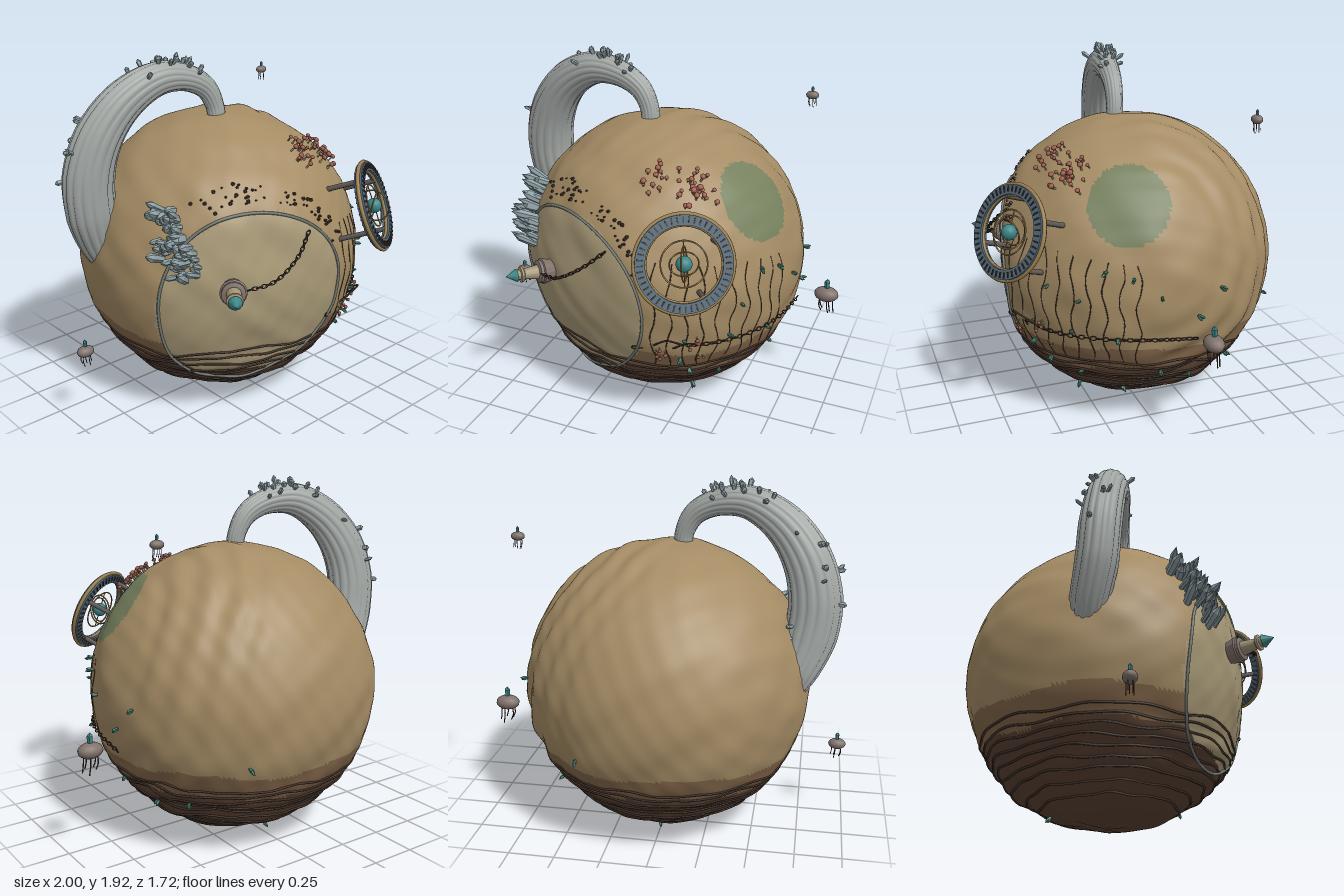
import * as THREE from 'three';
import { mergeGeometries, mergeVertices } from 'three/addons/utils/BufferGeometryUtils.js';

const V = (x, y, z) => new THREE.Vector3(x, y, z);
const UP = V(0, 1, 0), C = V(0, 0.797, -0.07), R = 0.785;
const COL = { tan: 0xa58c65, mid: 0x86694c, brown: 0x5c4334, pale: 0xaa9b78, green: 0x75805d, horn: 0xa3a8a5,
  crystal: 0x90a2a6, teal: 0x3c8587, spike: 0x3b7a68, gold: 0x9a7d4c, blue: 0x52697a, dark: 0x45342b, rope: 0x737a75,
  red: 0x9a5a48, stone: 0x80716b, post: 0x625c58, ivory: 0xa39678 };
const BASIN = V(-0.3, -0.08, 0.7).normalize(), MOSS = V(0.62, 0.5, 0.24).normalize();

let seed = 7;
const rnd = (a = 0, b = 1) => { seed = (seed * 16807) % 2147483647; return a + (b - a) * seed / 2147483647; };
const smooth = THREE.MathUtils.smoothstep;

// Radius of the lumpy planet in a direction
function radius(d) {
  let r = R + 0.006 * Math.sin(7 * d.x + 3 * d.y) * Math.cos(8 * d.z - 2 * d.y) + 0.004 * Math.sin(15 * d.y + 9 * d.x) * Math.sin(14 * d.z + 5);
  r += 0.0025 * Math.sin(27 * d.x + 11 * d.z) * Math.sin(24 * d.y - 9 * d.x);
  r -= 0.055 * (1 - smooth(d.angleTo(BASIN), 0.25, 0.75));
  const a = d.angleTo(V(0.9, 0.38, 0.2).normalize());
  r += 0.007 * Math.sin(30 * a + 2 * Math.sin(4 * d.y)) * smooth(a, 0.35, 0.6) * (1 - smooth(a, 1.1, 1.4)) * smooth(-d.z, -0.3, 0.1);
  const low = 1 - smooth(d.y, -0.6, -0.4);
  return r + 0.006 * low * Math.sin(40 * d.y + Math.sin(5 * Math.atan2(d.x, d.z)));
}
const onDir = (d, lift = 0) => { const n = d.clone().normalize(); return n.clone().multiplyScalar(radius(n) + lift).add(C); };
const outward = p => p.clone().sub(C).normalize();
const front = (x, y, lift) => onDir(V(x, y - C.y, Math.sqrt(Math.max(0, R * R - x * x - (y - C.y) ** 2))), lift);
const side = (z, y, lift) => onDir(V(Math.sqrt(Math.max(0, R * R - (z - C.z) ** 2 - (y - C.y) ** 2)), y - C.y, z - C.z), lift);

const mat = (color, opt = {}) => new THREE.MeshStandardMaterial({ color, ...opt });
function add(parent, name, geo, color, opt) {
  const m = new THREE.Mesh(Array.isArray(geo) ? mergeGeometries(geo.map(g => g.index ? g.toNonIndexed() : g)) : geo, mat(color, opt));
  m.name = name;
  parent.add(m);
  return m;
}
const FLAT = { flatShading: true };
// Moves a geometry to p with its y axis along dir
const put = (g, p, dir = UP) => g.applyQuaternion(new THREE.Quaternion().setFromUnitVectors(UP, dir.clone().normalize())).translate(p.x, p.y, p.z);
const tube = (pts, r, seg = 40, closed = false, sides = 5) => new THREE.TubeGeometry(new THREE.CatmullRomCurve3(pts, closed), seg, r, sides, closed);
const rod = (a, b, r0, r1 = r0, n = 8) => put(new THREE.CylinderGeometry(r1, r0, a.distanceTo(b), n), a.clone().lerp(b, 0.5), b.clone().sub(a));
// Prism with a pointed tip, base at the origin
const shard = (r, h, n = 5) => new THREE.LatheGeometry([V(0, 0, 0), V(r * 0.8, 0, 0), V(r, h * 0.7, 0), V(0, h, 0)], n);
const jitter = (d, k) => d.clone().add(V(rnd(-k, k), rnd(-k, k), rnd(-k, k))).normalize();

function planet(g) {
  let geo = new THREE.SphereGeometry(1, 190, 120);
  geo.deleteAttribute('uv'); geo.deleteAttribute('normal');
  geo = mergeVertices(geo);
  const pos = geo.attributes.position, p = V(0, 0, 0);
  for (let i = 0; i < pos.count; i++) {
    const q = onDir(p.fromBufferAttribute(pos, i));
    pos.setXYZ(i, q.x, q.y, q.z);
  }
  geo.computeVertexNormals();
  const parts = { tan: [], mid: [], brown: [], pale: [], green: [] }, ix = geo.index.array;
  // Sort faces into coloured ground
  for (let i = 0; i < ix.length; i += 3) {
    p.set(0, 0, 0);
    for (let k = 0; k < 3; k++) p.add(V(0, 0, 0).fromBufferAttribute(pos, ix[i + k]));
    p.divideScalar(3);
    const w = 0.015 * Math.sin(6 * Math.atan2(p.x, p.z));
    const basin = p.z > 0.1 && ((p.x + 0.27) / 0.44) ** 2 + ((p.y - 0.73) / 0.48) ** 2 < 1;
    const key = basin && p.y > 0.3 + w ? 'pale' : p.y < 0.38 + w ? 'brown' : p.y < 0.52 + w ? 'mid'
      : outward(p).angleTo(MOSS) < 0.27 + w ? 'green' : 'tan';
    parts[key].push(ix[i], ix[i + 1], ix[i + 2]);
  }
  for (const k in parts) {
    const s = geo.clone();
    s.setIndex(parts[k]);
    add(g, k + 'Ground', s, COL[k]);
  }
}

function horn(g) {
  // x, y, z, in-plane radius, sideways radius
  const st = [[-0.065, 1.52, 0, 0.05, 0.045], [-0.075, 1.62, -0.01, 0.052, 0.045], [-0.13, 1.72, -0.02, 0.06, 0.05], [-0.25, 1.785, -0.035, 0.07, 0.06],
    [-0.42, 1.795, -0.06, 0.088, 0.075], [-0.6, 1.70, -0.1, 0.11, 0.09], [-0.73, 1.53, -0.14, 0.13, 0.105],
    [-0.785, 1.33, -0.165, 0.142, 0.11], [-0.77, 1.13, -0.18, 0.14, 0.11], [-0.71, 0.95, -0.21, 0.115, 0.1], [-0.62, 0.78, -0.23, 0.08, 0.07]];
  const curve = new THREE.CatmullRomCurve3(st.map(s => V(s[0], s[1], s[2])));
  const N = 70, M = 96, verts = [], idx = [], shards = [];
  const ring = t => {
    const f = t * (st.length - 1), i = Math.min(st.length - 2, Math.floor(f)), k = f - i, c = curve.getPoint(t), T = curve.getTangent(t);
    const n = V(0, 0, 1).cross(T).normalize(), b = T.clone().cross(n).normalize();
    const mix = j => st[i][j] + (st[i + 1][j] - st[i][j]) * k;
    return (a, s = 1) => c.clone().addScaledVector(n, Math.cos(a) * mix(3) * s).addScaledVector(b, Math.sin(a) * mix(4) * s);
  };
  for (let i = 0; i <= N; i++) {
    const at = ring(i / N);
    for (let j = 0; j < M; j++) {
      const a = j / M * Math.PI * 2;
      verts.push(...at(a + i / N * 0.5, 0.94 + 0.07 * Math.sqrt(Math.abs(Math.sin(a * 8)))).toArray());
      if (i < N) {
        const p = i * M + j, q = i * M + (j + 1) % M;
        idx.push(p, q, p + M, q, q + M, p + M);
      }
    }
  }
  const geo = new THREE.BufferGeometry();
  geo.setAttribute('position', new THREE.Float32BufferAttribute(verts, 3));
  geo.setIndex(idx);
  geo.computeVertexNormals();
  add(g, 'horn', geo, COL.horn, { side: THREE.DoubleSide });
  for (let i = 0; i < 36; i++) {
    const t = i < 16 ? rnd(0.3, 0.46) : rnd(0.25, 0.85), at = ring(t), a = Math.PI + rnd(-1.3, 1.3);
    const p = at(a, 0.95), q = at(a, 1.1), w = at(0, 1).y > at(Math.PI, 1).y ? -1 : 1;
    if (w < 0) p.copy(at(a + Math.PI, 0.95)), q.copy(at(a + Math.PI, 1.1));
    shards.push(put(shard(rnd(0.01, 0.017), rnd(0.03, 0.06)), p, jitter(q.sub(p).normalize(), 0.3)));
  }
  add(g, 'hornCrystals', shards, COL.crystal, FLAT);
}

function porthole(g) {
  const w = new THREE.Group(), n = V(0.41, 0.33, 0.78).normalize();
  w.name = 'porthole';
  w.position.copy(C).addScaledVector(n, 0.945);
  w.lookAt(w.position.clone().add(n));
  g.add(w);
  const T = (r, t, s = 8, n = 64) => new THREE.TorusGeometry(r, t, s, n);
  add(w, 'goldRims', [T(0.238, 0.011), T(0.186, 0.009)], COL.gold);
  const band = new THREE.LatheGeometry([[0.185, -0.02], [0.235, -0.02], [0.235, 0.02], [0.185, 0.02], [0.185, -0.02]].map(a => new THREE.Vector2(...a)), 64).rotateX(Math.PI / 2);
  add(w, 'blueBand', band, COL.blue, { flatShading: true, side: THREE.DoubleSide });
  const teeth = [], posts = [];
  for (let i = 0; i < 48; i++) teeth.push(new THREE.BoxGeometry(0.03, 0.007, 0.05).translate(0.212, 0, 0).rotateZ(i * Math.PI / 24));
  for (let i = 0; i < 4; i++) {
    const a = i * Math.PI / 2 + 0.5, x = Math.cos(a) * 0.19, y = Math.sin(a) * 0.19;
    posts.push(rod(V(x, y, -0.23), V(x, y, 0), 0.014));
  }
  add(w, 'teeth', teeth, COL.dark, FLAT);
  add(w, 'mountPosts', posts, COL.post);
  add(w, 'gyroscopeRings', [T(0.112, 0.004), T(0.085, 0.004).rotateY(1.3), T(0.07, 0.004).rotateX(0.5), rod(V(0, -0.11, 0), V(0, 0.11, 0), 0.003)], COL.gold);
  add(w, 'core', new THREE.SphereGeometry(0.04, 20, 14), COL.teal);
}

function lighthouse(g) {
  const t = new THREE.Group(), base = V(-0.44, 0.835, 0.545), dir = V(-0.62, 0.08, 0.78).normalize();
  t.name = 'lighthouse';
  t.position.copy(base);
  t.quaternion.setFromUnitVectors(UP, dir);
  g.add(t);
  const lathe = a => new THREE.LatheGeometry(a.map(p => new THREE.Vector2(...p)), 16);
  add(t, 'footing', lathe([[0, -0.03], [0.055, -0.03], [0.07, 0.03], [0.062, 0.035], [0.062, 0.05], [0.045, 0.055], [0, 0.055]]), COL.stone, FLAT);
  add(t, 'tower', lathe([[0.04, 0.05], [0.028, 0.13], [0.042, 0.138], [0.042, 0.15], [0.026, 0.152], [0.026, 0.17], [0, 0.17]]), COL.ivory, FLAT);
  add(t, 'lampRoof', new THREE.ConeGeometry(0.036, 0.06, 12).translate(0, 0.2, 0), COL.teal, FLAT);
}

function chain(g, name, pts, count) {
  const c = new THREE.CatmullRomCurve3(pts), links = [];
  for (let i = 0; i < count; i++) {
    const u = (i + 0.5) / count;
    links.push(put(new THREE.TorusGeometry(0.011, 0.0032, 5, 10).scale(0.85, 1.45, 1).rotateY(i % 2 * Math.PI / 2 + 0.4), c.getPointAt(u), c.getTangentAt(u)));
  }
  add(g, name, links, COL.dark);
}

function lines(g) {
  const loop = Array.from({ length: 28 }, (_, i) => {
    const a = i / 28 * Math.PI * 2, k = 1 + 0.025 * Math.sin(3 * a + 1);
    return front(-0.27 + 0.44 * k * Math.cos(a), 0.73 + 0.48 * k * Math.sin(a), 0.004);
  });
  add(g, 'basinRim', tube(loop, 0.008, 140, true, 6), COL.rope);
  // Wavy layers around the underside
  const strata = [];
  for (let k = 0; k < 9; k++) {
    const y = 0.43 - k * 0.04 - (k > 6 ? 0.01 : 0), r = Math.sqrt(R * R - (y - C.y) ** 2);
    strata.push(tube(Array.from({ length: 60 }, (_, i) => {
      const a = i / 60 * Math.PI * 2;
      return onDir(V(r * Math.sin(a), y - C.y + 0.011 * Math.sin(7 * a + k * 0.8) + 0.006 * Math.sin(13 * a + k * 2), r * Math.cos(a)), 0.001);
    }), 0.0065, 180, true));
  }
  add(g, 'strata', strata, COL.dark);
  // Upright furrows on the front left flank
  const furrows = [];
  for (let k = 0; k < 10; k++) {
    const lon = 0.3 + k * 0.108, top = 0.34 - 0.01 * k;
    furrows.push(tube(Array.from({ length: 9 }, (_, i) => {
      const lat = -0.5 + (top + 0.5) * i / 8, a = lon + 0.02 * Math.sin(i * 1.7 + k);
      return onDir(V(Math.sin(a) * Math.cos(lat), Math.sin(lat), Math.cos(a) * Math.cos(lat)), -0.0005);
    }), 0.0032, 40));
  }
  add(g, 'furrows', furrows, COL.dark);
}

function growth(g) {
  const bigCrystals = [], caps = [], stems = [], spikes = [], pebbles = [];
  for (let i = 0; i < 46; i++) {
    const t = rnd(-1, 1), p = onDir(V(-0.6 + 0.06 * t + rnd(-0.06, 0.06), 0.27 - 0.15 * t + rnd(-0.06, 0.06), 0.37 + 0.07 * t + rnd(-0.06, 0.06)), -0.02);
    bigCrystals.push(put(shard(rnd(0.014, 0.026), rnd(0.09, 0.17), 6), p, jitter(V(-0.8, 0.32, 0.3), 0.2)));
  }
  add(g, 'crystalCluster', bigCrystals, COL.crystal, FLAT);
  // Mushrooms
  const mushroom = (p, s) => {
    const d = jitter(outward(p), 0.2), q = p.clone().addScaledVector(d, 0.035 * s);
    stems.push(rod(p, q, 0.005 * s, 0.004 * s, 5));
    caps.push(put(new THREE.SphereGeometry(0.014 * s, 8, 6).scale(1, 0.75, 1), q, d));
  };
  for (let i = 0; i < 42; i++) mushroom(onDir(V(rnd(0.08, 0.48), rnd(0.5, 0.68), rnd(0.34, 0.56))), rnd(0.7, 1.2));
  for (let i = 0; i < 12; i++) mushroom(front(rnd(0.23, 0.45), rnd(0.5, 0.66)), rnd(0.5, 0.9));
  add(g, 'mushroomStems', stems, COL.ivory);
  add(g, 'mushroomCaps', caps, COL.red);
  // Small spikes on the left flank and underside, as z, y
  const at = [[0.3, 0.96], [0.18, 0.93], [-0.28, 0.83], [0.42, 0.8], [-0.15, 0.7], [-0.73, 0.58], [0.36, 0.35], [0.12, 0.15], [-0.2, 0.27],
    [-0.43, 0.33], [-0.37, 0.07], [0.25, 0.6], [0.5, 0.4], [0.45, 0.62], [0.57, 0.5], [0.33, 0.2], [0.6, 0.62], [0, 0.36], [0.55, 0.85], [0.05, 0.83]];
  for (const [z, y] of at) {
    const p = side(z, y, -0.005), d = jitter(outward(p), 0.35);
    for (let k = 0; k < 2; k++) spikes.push(put(shard(0.009, rnd(0.035, 0.055)), p, jitter(d, 0.25)));
  }
  add(g, 'tealSpikes', spikes, COL.spike, FLAT);
  // Pebbles along the upper basin rim
  for (let i = 0; i < 60; i++) {
    const a = rnd(0.5, 2.1), k = rnd(1.08, 1.25);
    pebbles.push(put(new THREE.DodecahedronGeometry(rnd(0.005, 0.011)), front(-0.27 + 0.42 * k * Math.cos(a), 0.73 + 0.48 * k * Math.sin(a), 0.003)));
  }
  add(g, 'pebbles', pebbles, COL.dark, FLAT);
  const arches = [[0.23, 0.6, 0.36], [0.32, 0.58, 0.44]].map(([a, y, b]) => tube([front(a, y, 0), front((a + b) / 2, y + 0.07, 0.05), front(b, y, 0)], 0.005, 16));
  add(g, 'rootArches', arches, COL.dark);
}

function islet(g, x, y, z, r) {
  const s = new THREE.Group(), roots = [];
  s.name = 'floatingIslet';
  s.position.set(x, y, z);
  s.scale.setScalar(r);
  g.add(s);
  add(s, 'rock', new THREE.SphereGeometry(1, 14, 10).scale(1, 0.62, 0.75), COL.stone);
  add(s, 'crystal', shard(0.24, 0.9).translate(0, 0.5, 0), COL.teal, FLAT);
  for (let i = 0; i < 5; i++) {
    const a = i * 1.257, px = Math.cos(a) * 0.55, pz = Math.sin(a) * 0.4;
    roots.push(tube([V(px, -0.3, pz), V(px * 1.1, -1, pz), V(px + 0.15, -rnd(1.4, 1.9), pz)], 0.05, 8));
  }
  add(s, 'hangingRoots', roots, COL.dark);
}

export function createModel() {
  const g = new THREE.Group();
  g.name = 'crystalPlanet';
  planet(g);
  horn(g);
  porthole(g);
  lighthouse(g);
  lines(g);
  growth(g);
  chain(g, 'mooringChain', [V(-0.42, 0.86, 0.63), V(-0.3, 0.89, 0.69), V(-0.15, 0.98, 0.7), front(-0.03, 1.08, 0.005)], 20);
  chain(g, 'flankChain', [[0.67, 0.56], [0.5, 0.6], [0.3, 0.61], [0.1, 0.6], [-0.15, 0.58]].map(([z, y]) => side(z, y, 0.015)), 38);
  islet(g, -0.95, 0.45, -0.03, 0.048);
  islet(g, 0.93, 0.62, -0.16, 0.068);
  islet(g, 0.7, 1.66, -0.46, 0.036);
  return g;
}
